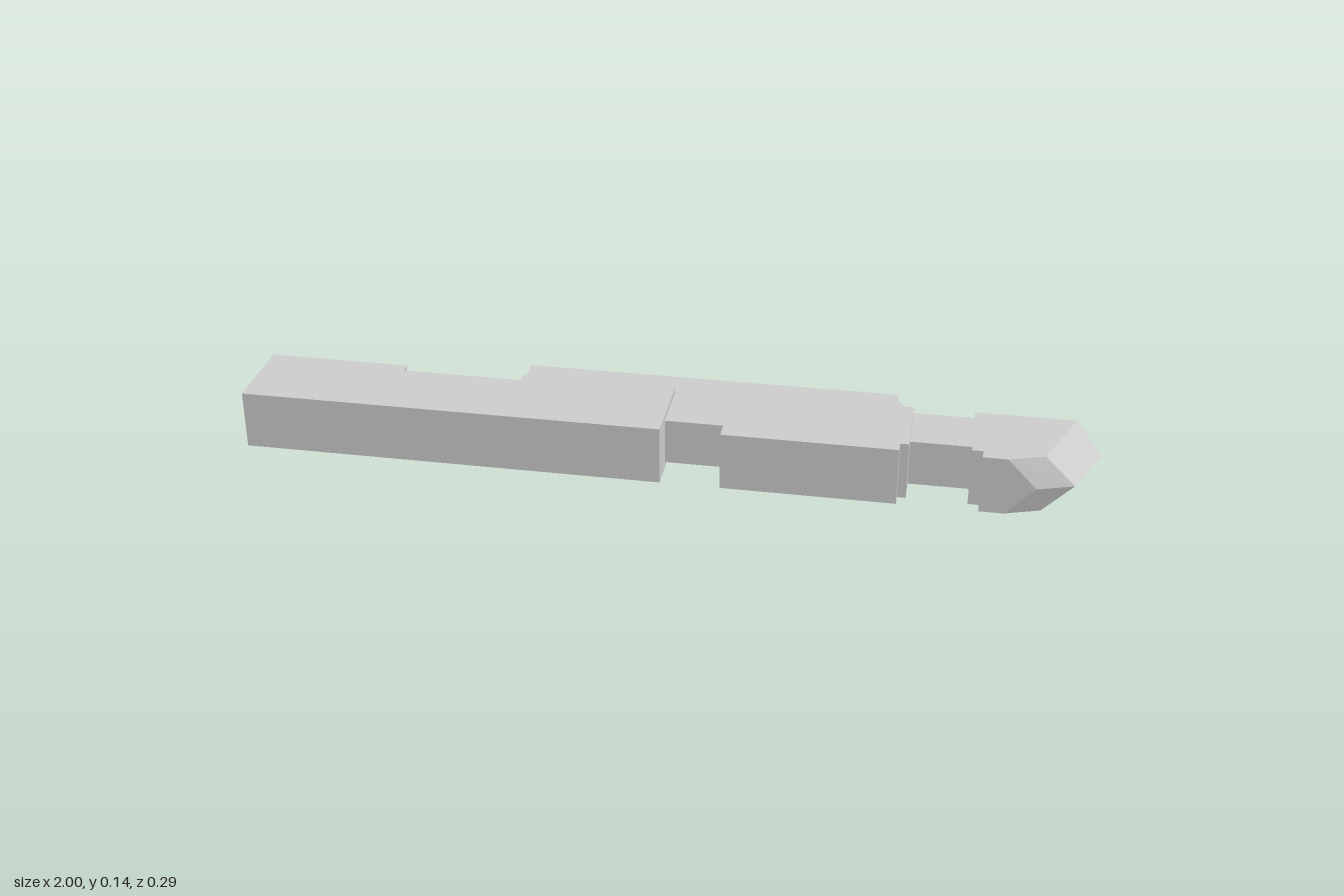
import * as THREE from 'three';

const H = 0.14; // full height of the thick blocks
const material = new THREE.MeshStandardMaterial({ color: 0xcccccc, flatShading: true });
const sheetMaterial = new THREE.MeshStandardMaterial({ color: 0xcccccc, flatShading: true, side: THREE.DoubleSide });

// plan outline given as [x, z] pairs
const planShape = (plan) => new THREE.Shape(plan.map(([x, z]) => new THREE.Vector2(x, -z)));

// upright prism over a plan outline, from y0 to y1
function slab(name, plan, y0, y1) {
  const geo = new THREE.ExtrudeGeometry(planShape(plan), { depth: y1 - y0, bevelEnabled: false });
  geo.rotateX(-Math.PI / 2).translate(0, y0, 0);
  const mesh = new THREE.Mesh(geo, material);
  mesh.name = name;
  return mesh;
}

// closed solid through stacked loops; each loop runs clockwise from above
// and its first corner sees all others
function loft(name, levels) {
  const pos = [];
  const point = (l, i) => {
    const { y, plan } = levels[l];
    const [x, z] = plan[i % plan.length];
    return [x, y, z];
  };
  const tri = (...corners) => corners.forEach((c) => pos.push(...c));
  const n = levels[0].plan.length;
  const top = levels.length - 1;
  for (let l = 0; l < top; l++) {
    for (let i = 0; i < n; i++) {
      tri(point(l, i), point(l + 1, i), point(l + 1, i + 1));
      tri(point(l, i), point(l + 1, i + 1), point(l, i + 1));
    }
  }
  for (let i = 1; i < n - 1; i++) {
    tri(point(0, 0), point(0, i), point(0, i + 1));
    tri(point(top, 0), point(top, i + 1), point(top, i));
  }
  const geo = new THREE.BufferGeometry();
  geo.setAttribute('position', new THREE.Float32BufferAttribute(pos, 3));
  geo.computeVertexNormals();
  const mesh = new THREE.Mesh(geo, material);
  mesh.name = name;
  return mesh;
}

export function createModel() {
  const group = new THREE.Group();
  group.name = 'slidingBolt';

  // long rear block with a shallow step along its back edge
  group.add(slab('rearBlock', [
    [-1, 0.145], [0, 0.145], [0, -0.063], [-0.37, -0.063],
    [-0.37, -0.037], [-0.66, -0.037], [-0.66, -0.063], [-1, -0.063],
  ], 0, H));

  // thinner core with the back rail, hollowed at the rail's end
  const hollow = [[0.523, -0.147], [0.525, -0.118], [0.533, -0.103], [0.548, -0.083], [0.553, -0.063]];
  group.add(slab('coreAndRail', [
    [-0.66, 0.075], [0.71, 0.075], [0.71, -0.063], ...[...hollow].reverse(),
    [-0.37, -0.147], [-0.37, -0.063], [-0.66, -0.063],
  ], 0.015, 0.125));

  // thin sheet under the hollow
  const sheetGeo = new THREE.ShapeGeometry(planShape([...hollow, [0.565, -0.063], [0.565, -0.147]]));
  sheetGeo.rotateX(-Math.PI / 2).translate(0, 0.015, 0);
  const sheet = new THREE.Mesh(sheetGeo, sheetMaterial);
  sheet.name = 'railEndSheet';
  group.add(sheet);

  // middle block with a nicked front corner
  group.add(slab('middleBlock', [
    [0.14, 0.145], [0.545, 0.145], [0.545, 0.115], [0.565, 0.115],
    [0.565, -0.063], [0.14, -0.063],
  ], 0, H));

  // wedge head: same base, nose pushed out at mid height
  const base = [[0.73, 0.117], [0.705, 0.117], [0.705, -0.063], [0.937, -0.063]];
  const edge = [...base, [0.937, -0.063], [0.868, 0.117], [0.786, 0.145], [0.73, 0.145]];
  const nose = [...base, [1, -0.037], [0.938, 0.117], [0.853, 0.145], [0.73, 0.145]];
  group.add(loft('wedgeHead', [
    { y: 0, plan: edge }, { y: H / 2, plan: nose }, { y: H, plan: edge },
  ]));

  return group;
}
